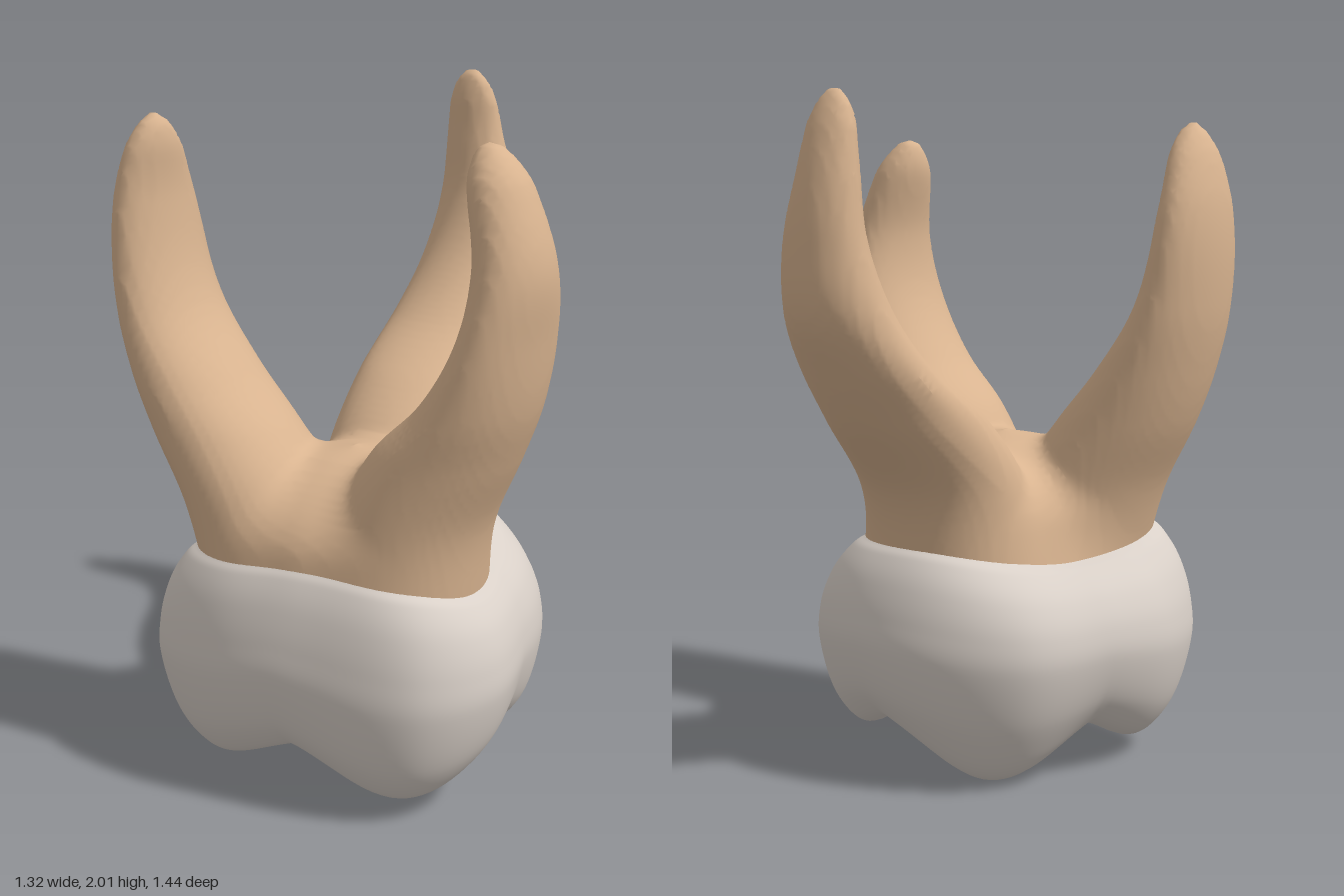
import * as THREE from 'three';

// Horizontal elliptical sections: [y, centreX, centreZ, radiusX, radiusZ]
const backRoot = [
  [0.6, -0.04, 0, 0.28, 0.25], [0.88, -0.07, -0.08, 0.25, 0.245], [1.1, -0.115, -0.28, 0.22, 0.235],
  [1.25, -0.14, -0.45, 0.2, 0.17], [1.4, -0.157, -0.563, 0.167, 0.138], [1.6, -0.163, -0.62, 0.134, 0.096],
  [1.8, -0.18, -0.622, 0.098, 0.07], [2.01, -0.18, -0.597, 0.07, 0.035]];
const rightRoot = [
  [0.6, -0.18, 0.39, 0.21, 0.255], [0.85, -0.24, 0.41, 0.225, 0.245], [1.05, -0.355, 0.435, 0.205, 0.225],
  [1.2, -0.445, 0.45, 0.165, 0.21], [1.4, -0.535, 0.46, 0.115, 0.187], [1.7, -0.57, 0.47, 0.08, 0.147],
  [1.945, -0.53, 0.5, 0.05, 0.065]];
const leftRoot = [
  [0.6, 0.21, 0.32, 0.215, 0.255], [0.85, 0.25, 0.315, 0.215, 0.25], [1.05, 0.345, 0.305, 0.205, 0.235],
  [1.2, 0.45, 0.305, 0.155, 0.215], [1.4, 0.53, 0.305, 0.11, 0.19], [1.6, 0.557, 0.315, 0.099, 0.143],
  [1.8, 0.51, 0.315, 0.085, 0.1], [1.92, 0.47, 0.31, 0.06, 0.06]];
const trunk = [[0.6, -0.02, 0.225, 0.37, 0.42], [0.85, 0, 0.245, 0.33, 0.37], [1.0, 0, 0.27, 0.28, 0.3]];

// Each limb is rounded off over a stretch below its tip
const limbs = [[backRoot, 0.12], [rightRoot, 0.12], [leftRoot, 0.12], [trunk, 0.24]].map(([rows, rounding]) => ({
  rounding,
  tip: rows[rows.length - 1][0],
  curve: new THREE.CubicInterpolant(rows.map((r) => r[0]), rows.flatMap((r) => r.slice(1)), 4),
}));

// Sections of all roots at one height
const sectionsAt = (y) => limbs.map(({ tip, rounding, curve }) => {
  const [cx, cz, rx, rz] = curve.evaluate(y);
  const t = THREE.MathUtils.clamp(1 - (tip - y) / rounding, 0, 1);
  const cap = Math.max(Math.sqrt(1 - t * t), 0.05);
  return { cx, cz, rx: rx * cap, rz: rz * cap, over: y - tip };
});

// Smoothly blended distance to the roots, negative inside
function rootField(sections, x, z) {
  const k = 0.09;
  let d = 1;
  for (const s of sections) {
    const dx = x - s.cx, dz = z - s.cz;
    const f = s.over > 0 ? Math.hypot(dx, dz, s.over)
      : (Math.hypot(dx / s.rx, dz / s.rz) - 1) * Math.min(s.rx, s.rz);
    const h = Math.max(k - Math.abs(d - f), 0) / k;
    d = Math.min(d, f) - h * h * k / 4;
  }
  return d;
}

function makeGeometry(positions, indices) {
  const g = new THREE.BufferGeometry();
  g.setAttribute('position', new THREE.Float32BufferAttribute(positions, 3));
  g.setIndex(indices);
  g.computeVertexNormals();
  return g;
}

// Skin the root field: one vertex per crossed grid cell, one quad per crossed edge
function rootGeometry() {
  const step = 0.02, origin = [-0.74, 0.5, -0.8], n = [75, 78, 80];
  const stride = [1, n[0] * n[2], n[0]];
  const at = (i, j, k) => i + j * stride[1] + k * stride[2];
  const field = new Float32Array(n[0] * n[1] * n[2]);
  for (let j = 0; j < n[1]; j++) {
    const sections = sectionsAt(origin[1] + j * step);
    for (let k = 0; k < n[2]; k++) for (let i = 0; i < n[0]; i++)
      field[at(i, j, k)] = rootField(sections, origin[0] + i * step, origin[2] + k * step);
  }
  const cell = new Int32Array(field.length).fill(-1);
  const positions = [], indices = [];
  for (let j = 0; j < n[1] - 1; j++) for (let k = 0; k < n[2] - 1; k++) for (let i = 0; i < n[0] - 1; i++) {
    const base = at(i, j, k), sum = [0, 0, 0];
    let count = 0;
    for (let c = 0; c < 8; c++) for (let a = 0; a < 3; a++) {
      if (c >> a & 1) continue;
      const bits = [c & 1, c >> 1 & 1, c >> 2 & 1];
      const p = base + at(...bits), f0 = field[p], f1 = field[p + stride[a]];
      if (f0 < 0 === f1 < 0) continue;
      bits[a] = f0 / (f0 - f1);
      bits.forEach((b, m) => { sum[m] += b; });
      count++;
    }
    if (!count) continue;
    cell[base] = positions.length / 3;
    [i, j, k].forEach((g, m) => positions.push(origin[m] + (g + sum[m] / count) * step));
  }
  for (let p = 0; p < field.length; p++) for (let a = 0; a < 3; a++) {
    const q = p + stride[a];
    if (q >= field.length || field[p] < 0 === field[q] < 0) continue;
    const u = stride[(a + 1) % 3], v = stride[(a + 2) % 3];
    const [c0, c1, c2, c3] = [p - u - v, p - v, p, p - u].map((c) => (c < 0 ? -1 : cell[c]));
    if (Math.min(c0, c1, c2, c3) < 0) continue;
    if (field[p] < 0) indices.push(c0, c1, c2, c0, c2, c3);
    else indices.push(c0, c2, c1, c0, c3, c2);
  }
  return makeGeometry(positions, indices);
}

// Widest outline of the crown, with the height of the gum line above it: [x, gumY, z]
const crownOutline = [
  [0.54, 0.65, 0.35], [0.43, 0.7, 0.57], [0.1, 0.735, 0.68], [-0.2, 0.72, 0.72],
  [-0.45, 0.71, 0.655], [-0.56, 0.67, 0.4], [-0.53, 0.65, 0.1], [-0.45, 0.67, -0.15],
  [-0.2, 0.71, -0.32], [0.08, 0.71, -0.355], [0.35, 0.69, -0.21], [0.48, 0.65, 0.08]];

// Crown profile: [neck to bulge, gum line to chewing face, scale]
const crownProfile = [
  [0, 0, 1], [0.3, 0.05, 1], [0.72, 0.2, 1], [0.96, 0.4, 1], [1, 0.6, 1],
  [1, 0.87, 0.92], [1, 0.96, 0.82], [1, 1, 0.7], [1, 1, 0.35], [1, 1, 0]];

// Chewing cusps: [x, z, height, spread]
const cusps = [[-0.33, 0.5, 0.17, 0.29], [0.29, 0.45, 0.17, 0.28], [-0.2, 0, 0.24, 0.24], [0.27, -0.08, 0.13, 0.24]];

// Underside height: cusps and a raised rim around the middle hollow
function chewingHeight(x, z, scale) {
  const cusp = Math.max(...cusps.map(([cx, cz, h, s]) => h * Math.exp(-((x - cx) ** 2 + (z - cz) ** 2) / (s * s))));
  return 0.25 - cusp - 0.045 * Math.exp(-(((scale - 0.75) / 0.22) ** 2));
}

// Crown: rings run from the gum line, over the bulge and in across the chewing face
function crownGeometry() {
  const around = 112, rings = 64, centreZ = 0.2;
  const toCurve = (points, closed) => new THREE.CatmullRomCurve3(points.map((p) => new THREE.Vector3(...p)), closed);
  const outline = toCurve(crownOutline, true), profile = toCurve(crownProfile, false);
  const columns = Array.from({ length: around }, (_, j) => {
    const p = outline.getPoint(j / around), sections = sectionsAt(p.y);
    // Find where the gum line meets the root surface
    let low = 0.3, high = 1;
    for (let m = 0; m < 24; m++) {
      const t = (low + high) / 2;
      if (rootField(sections, p.x * t, centreZ + (p.z - centreZ) * t) < 0) low = t; else high = t;
    }
    return { p, neck: low * 0.995 };
  });
  const positions = [], indices = [];
  for (let i = 0; i <= rings; i++) {
    const s = profile.getPoint(i / rings), scale = Math.max(s.z, 0);
    for (const { p, neck } of columns) {
      const r = THREE.MathUtils.lerp(neck, 1, s.x) * scale;
      const x = p.x * r, z = centreZ + (p.z - centreZ) * r;
      positions.push(x, THREE.MathUtils.lerp(p.y, chewingHeight(x, z, scale), s.y), z);
    }
  }
  for (let i = 0; i < rings; i++) for (let j = 0; j < around; j++) {
    const a = i * around + j, b = i * around + (j + 1) % around;
    indices.push(a, b, a + around, b, b + around, a + around);
  }
  return makeGeometry(positions, indices);
}

export function createModel() {
  const enamel = new THREE.MeshStandardMaterial({ color: 0xd9d0c8 });
  enamel.name = 'enamel';
  const cementum = new THREE.MeshStandardMaterial({ color: 0xd9b490 });
  cementum.name = 'root tan';

  const crown = new THREE.Mesh(crownGeometry(), enamel);
  crown.name = 'crown';
  const roots = new THREE.Mesh(rootGeometry(), cementum);
  roots.name = 'roots';

  const tooth = new THREE.Group();
  tooth.name = 'molar';
  tooth.add(crown, roots);
  return tooth;
}
